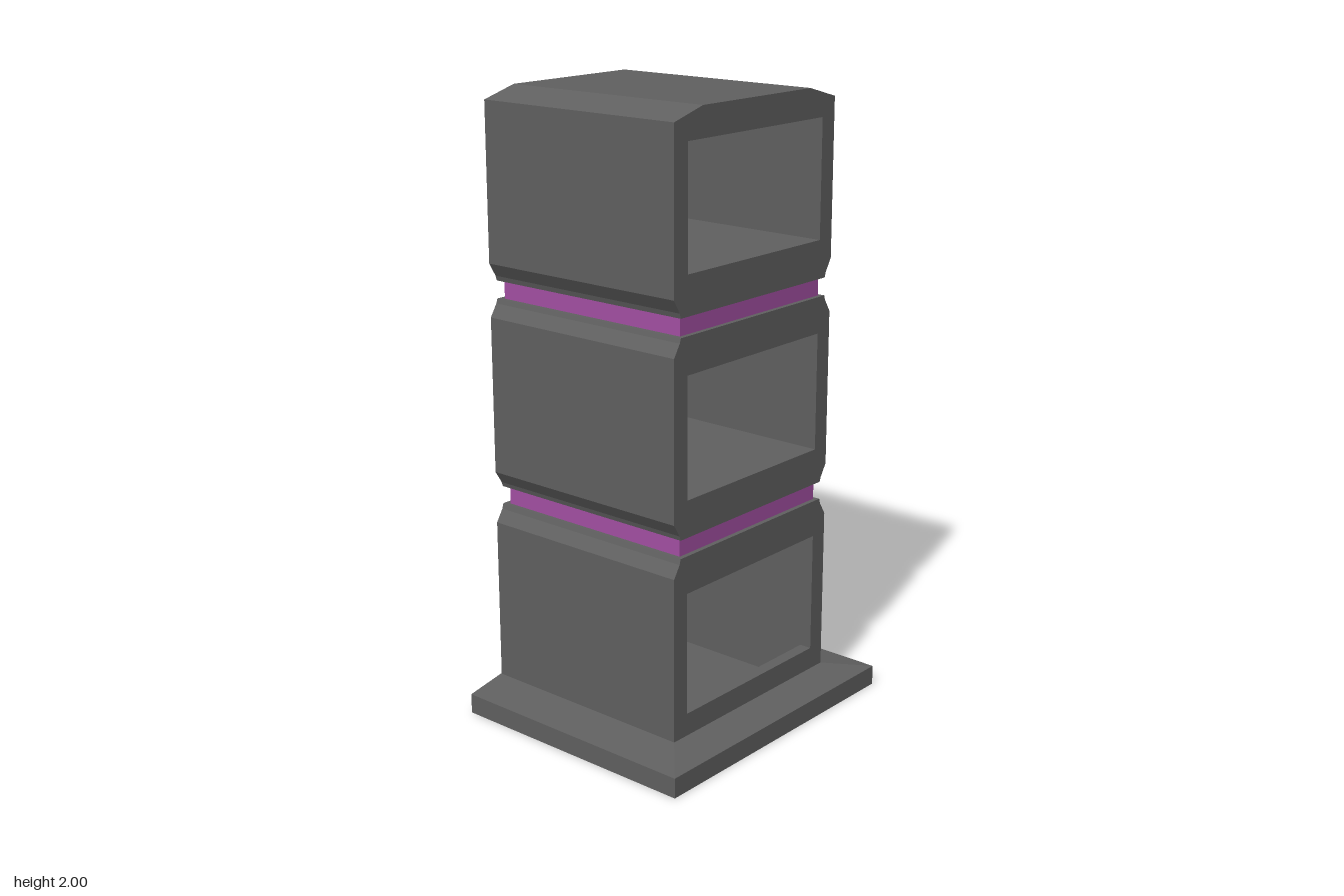
import * as THREE from 'three';

const FRONT = 0.315, BACK = -0.43, CAVITY_BACK = -0.29;
const dark = new THREE.MeshStandardMaterial({ color: 0x606060 });
const purple = new THREE.MeshStandardMaterial({ color: 0xa24fa2 });

// Right half of an outline, mirrored in x to a closed shape
function mirroredShape(half) {
  const right = half.map(([x, y]) => new THREE.Vector2(x, y));
  const left = half.map(([x, y]) => new THREE.Vector2(-x, y)).reverse();
  return new THREE.Shape([...right, ...left]);
}

function extrude(half, z0, z1, opening) {
  const shape = mirroredShape(half);
  if (opening) {
    const [y0, y1] = opening;
    shape.holes.push(mirroredShape([[0.315, y0], [0.315, y1]]));
  }
  return new THREE.ExtrudeGeometry(shape, { depth: z1 - z0, bevelEnabled: false }).translate(0, 0, z0);
}

// Hollow block; the cavity floor may lie below the sill of its opening
function block(name, half, opening, floor = opening[0]) {
  const group = new THREE.Group();
  group.name = name;
  const add = (part, geometry) => {
    const mesh = new THREE.Mesh(geometry, dark);
    mesh.name = part;
    group.add(mesh);
  };
  const lip = floor < opening[0] ? 0.04 : 0;
  add('backWall', extrude(half, BACK, CAVITY_BACK));
  add('shell', extrude(half, CAVITY_BACK, FRONT - lip, [floor, opening[1]]));
  if (lip) add('frontFrame', extrude(half, FRONT - lip, FRONT, opening));
  return group;
}

// Plinth from rectangular cross-sections, flush with the back of the tower
function plinthGeometry() {
  const rings = [[0.51, 0, 0.433], [0.51, 0.065, 0.433], [0.375, 0.09, FRONT]].map(([x, y, z]) =>
    [[-x, y, z], [x, y, z], [x, y, -0.433], [-x, y, -0.433]]);
  const pos = [];
  const quad = (a, b, c, d) => pos.push(...a, ...b, ...c, ...a, ...c, ...d);
  for (let r = 0; r < 2; r++) {
    for (let i = 0; i < 4; i++) {
      const j = (i + 1) % 4;
      quad(rings[r][i], rings[r][j], rings[r + 1][j], rings[r + 1][i]);
    }
  }
  const [a, b, c, d] = rings[0];
  quad(d, c, b, a);
  const geometry = new THREE.BufferGeometry();
  geometry.setAttribute('position', new THREE.Float32BufferAttribute(pos, 3));
  geometry.computeVertexNormals();
  return geometry;
}

export function createModel() {
  const model = new THREE.Group();
  model.name = 'shelfTower';

  const plinth = new THREE.Mesh(plinthGeometry(), dark);
  plinth.name = 'plinth';
  model.add(plinth);

  // Three stacked compartments with chamfered side edges
  model.add(block('lowerCompartment',
    [[0.375, 0.01], [0.375, 0.62], [0.35, 0.66], [0.345, 0.677]], [0.163, 0.557], 0.03));
  model.add(block('middleCompartment',
    [[0.345, 0.735], [0.35, 0.75], [0.375, 0.79], [0.375, 1.295], [0.35, 1.335], [0.345, 1.35]], [0.852, 1.233]));
  model.add(block('upperCompartment',
    [[0.345, 1.407], [0.35, 1.423], [0.375, 1.465], [0.375, 1.965], [0.25, 2]], [1.53, 1.907]));

  // Recessed coloured bands between the compartments
  for (const [name, y] of [['lowerBand', 0.706], ['upperBand', 1.3785]]) {
    const band = new THREE.Mesh(new THREE.BoxGeometry(0.664, 0.07, 0.71), purple);
    band.name = name;
    band.position.set(0, y, -0.055);
    model.add(band);
  }
  return model;
}
